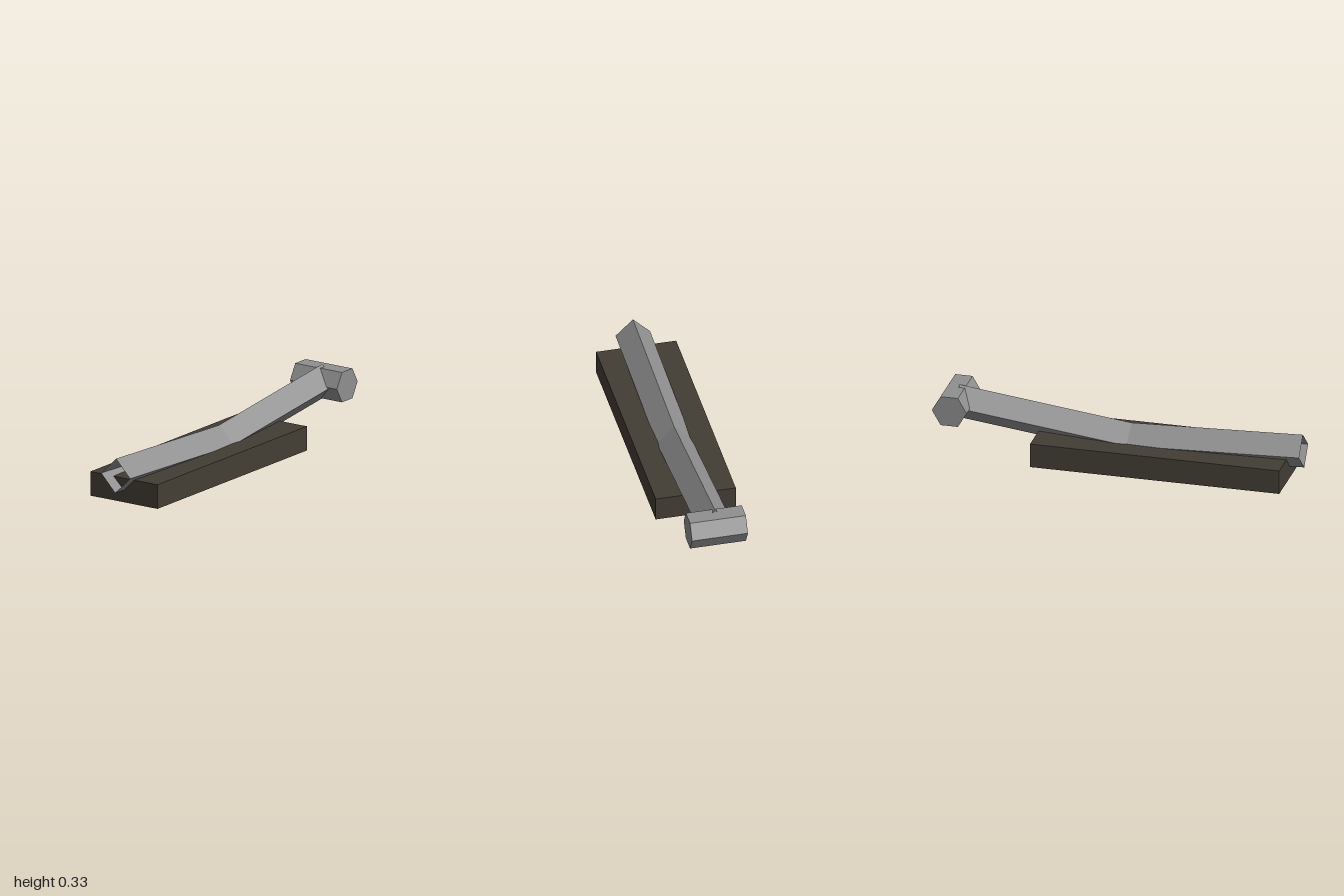
import * as THREE from 'three';

const steel = new THREE.MeshStandardMaterial({ color: 0x8f8f8f, side: THREE.DoubleSide });
steel.name = 'grey metal';
const wood = new THREE.MeshStandardMaterial({ color: 0x433d34 });
wood.name = 'dark brown';

function flat(geometry) {
  const g = geometry.index ? geometry.toNonIndexed() : geometry;
  g.computeVertexNormals();
  return g;
}

function addPart(group, name, geometry, material, x, y, z) {
  const mesh = new THREE.Mesh(geometry, material);
  mesh.name = name;
  mesh.position.set(x, y, z);
  group.add(mesh);
  return mesh;
}

// Open diamond-section tube; stations are [y, z, tilt] with tilt leaning the section along z
function diamondTube(stations, radius) {
  const rings = stations.map(([y, z, tilt]) => {
    const up = new THREE.Vector3(0, Math.cos(tilt), Math.sin(tilt)).multiplyScalar(radius);
    const side = new THREE.Vector3(radius, 0, 0);
    const centre = new THREE.Vector3(0, y, z);
    return [
      centre.clone().add(up), centre.clone().add(side),
      centre.clone().sub(up), centre.clone().sub(side),
    ];
  });
  const points = [];
  for (let i = 0; i < rings.length - 1; i++) {
    for (let j = 0; j < 4; j++) {
      const k = (j + 1) % 4;
      const a = rings[i][j], b = rings[i][k], c = rings[i + 1][k], d = rings[i + 1][j];
      points.push(a, b, c, a, c, d);
    }
  }
  return flat(new THREE.BufferGeometry().setFromPoints(points));
}

export function createModel() {
  const group = new THREE.Group();
  group.name = 'bentLeverOnBlock';

  // Base block
  addPart(group, 'base', new THREE.BoxGeometry(0.436, 0.133, 1.365), wood, 0, 0.0665, 0.2375);

  // Bent hollow arm, front end to rear end
  const arm = diamondTube([
    [0.163, 0.996, -0.038],
    [0.126, 0.05, 0.04],
    [0.241, -0.9, 0.12],
  ], 0.094);
  addPart(group, 'arm', arm, steel, 0, 0, 0);

  // Six-sided head across the rear end
  const head = new THREE.CylinderGeometry(0.095, 0.095, 0.304, 6);
  head.rotateZ(Math.PI / 2);
  addPart(group, 'head', flat(head), steel, 0, 0.239, -0.905);

  return group;
}
